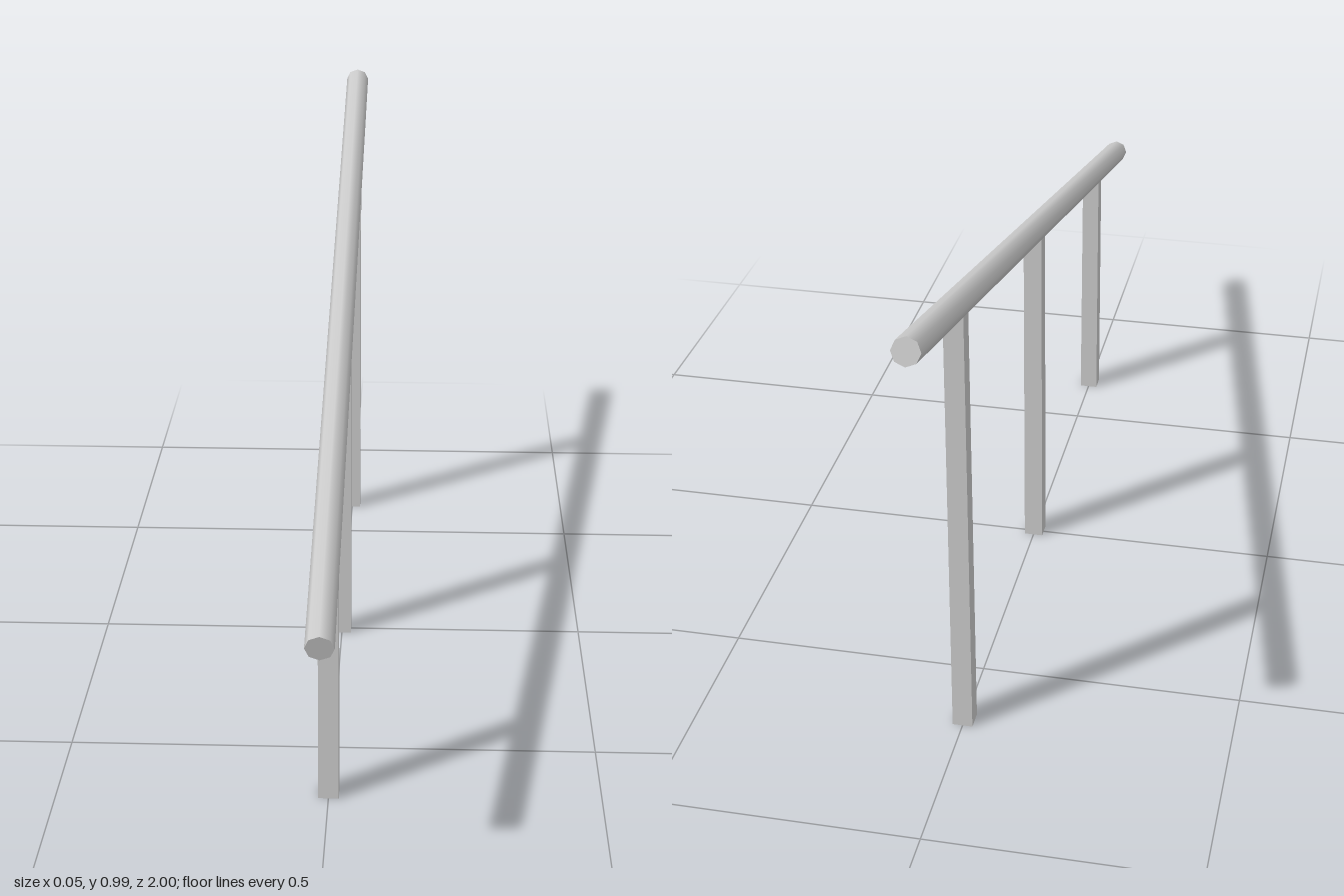
import * as THREE from 'three';

const material = new THREE.MeshStandardMaterial({ color: 0xcccccc });
const openMaterial = new THREE.MeshStandardMaterial({ color: 0xcccccc, side: THREE.DoubleSide });

const SLOPE = Math.atan2(0.495, 1.988);
const MID_Y = 0.716;
const railHeight = (z) => MID_Y - Math.tan(SLOPE) * z;

// Square hollow post, open underneath, leaning slightly to the back
function createPost(z) {
  const height = railHeight(z);
  const geometry = new THREE.CylinderGeometry(0.036 * Math.SQRT1_2, 0.038 * Math.SQRT1_2, height, 4, 1, true);
  geometry.rotateY(Math.PI / 4);
  geometry.translate(0, height / 2, 0);
  const flat = geometry.toNonIndexed();
  const p = flat.attributes.position;
  for (let i = 0; i < p.count; i++) p.setZ(i, p.getZ(i) - 0.014 * p.getY(i));
  flat.computeVertexNormals();
  const post = new THREE.Mesh(flat, openMaterial);
  post.name = 'post';
  post.position.z = z;
  return post;
}

export function createModel() {
  const group = new THREE.Group();
  group.name = 'handrail';

  // Sloping eight-sided rail, rising towards the back
  const rail = new THREE.Mesh(new THREE.CylinderGeometry(0.025, 0.025, 2.049, 8), material);
  rail.name = 'rail';
  rail.rotation.x = SLOPE - Math.PI / 2;
  rail.position.y = MID_Y;
  group.add(rail);

  // Three upright posts
  for (const z of [0.665, 0.003, -0.66]) group.add(createPost(z));
  return group;
}
